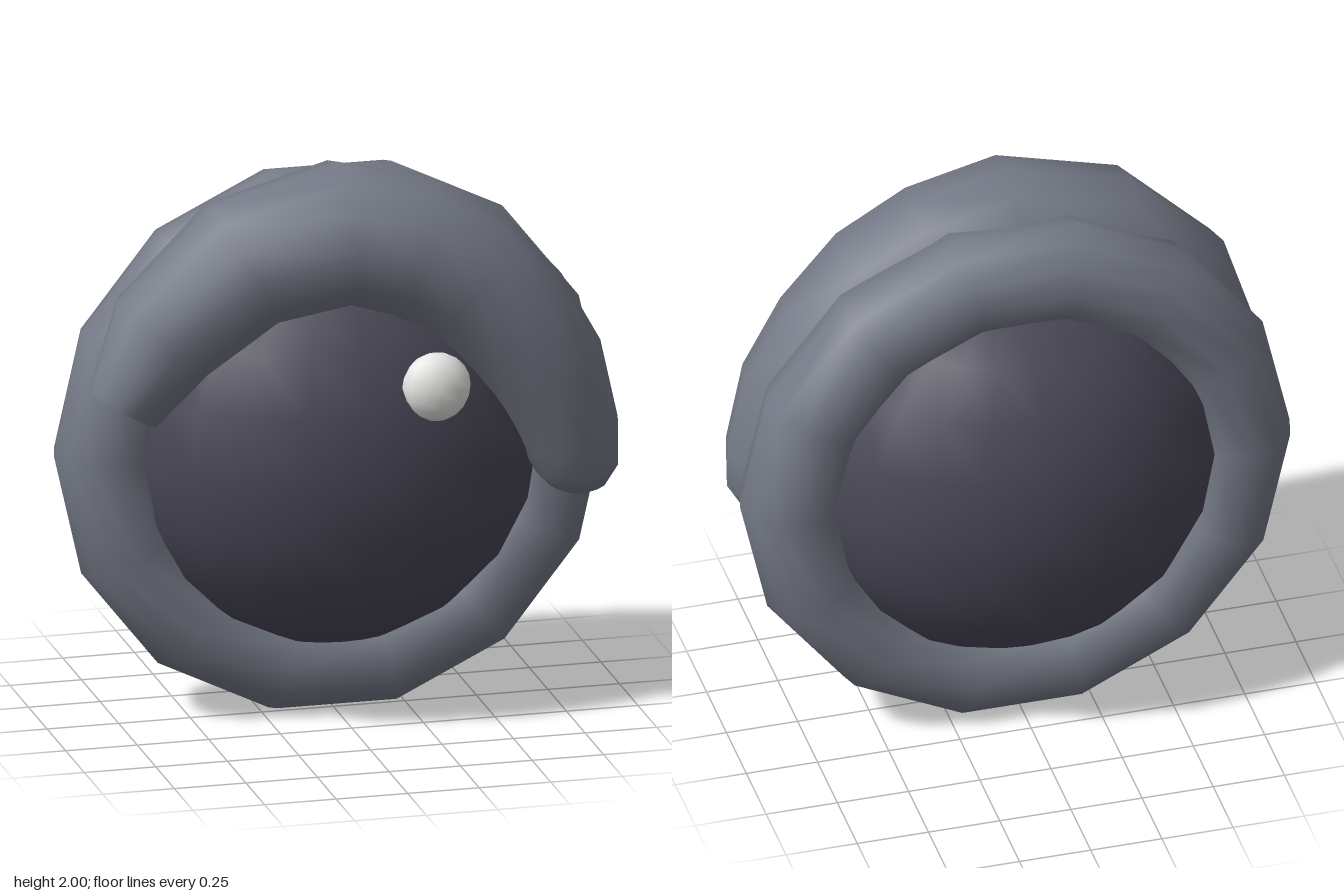
import * as THREE from 'three';

const SIDES = 12;

// Swept tube in the xy plane; each section is [x, y, radius]
function taperedTube(sections, z, depth) {
  const pos = [], idx = [];
  const addRing = (i) => {
    const [x, y, r] = sections[i];
    const p = sections[Math.max(i - 1, 0)], q = sections[Math.min(i + 1, sections.length - 1)];
    const len = Math.hypot(q[0] - p[0], q[1] - p[1]);
    const nx = -(q[1] - p[1]) / len, ny = (q[0] - p[0]) / len;
    const start = pos.length / 3;
    for (let j = 0; j < SIDES; j++) {
      const a = (j / SIDES) * Math.PI * 2, c = Math.cos(a) * r;
      pos.push(x + nx * c, y + ny * c, z + Math.sin(a) * r * depth);
    }
    return start;
  };
  const starts = sections.map((s, i) => addRing(i));
  for (let i = 0; i < starts.length - 1; i++) {
    for (let j = 0; j < SIDES; j++) {
      const k = (j + 1) % SIDES, a = starts[i], b = starts[i + 1];
      idx.push(a + j, a + k, b + k, a + j, b + k, b + j);
    }
  }
  // Blunt start cap has its own rim for a sharp edge; the end shares its rim
  const first = addRing(0), last = starts[starts.length - 1];
  const end = sections[sections.length - 1];
  const c0 = pos.length / 3;
  pos.push(sections[0][0], sections[0][1], z, end[0], end[1], z);
  for (let j = 0; j < SIDES; j++) {
    const k = (j + 1) % SIDES;
    idx.push(c0, first + k, first + j, c0 + 1, last + j, last + k);
  }
  const g = new THREE.BufferGeometry();
  g.setAttribute('position', new THREE.Float32BufferAttribute(pos, 3));
  g.setIndex(idx);
  g.computeVertexNormals();
  return g;
}

export function createModel() {
  const group = new THREE.Group();
  const material = (name, color) => {
    const m = new THREE.MeshStandardMaterial({ color });
    m.name = name;
    return m;
  };
  const grey = material('slate grey', 0x757a87);
  const dark = material('dark violet', 0x4a4757);
  const white = material('off white', 0xe6e6e4);

  const add = (name, geometry, mat, position = [0, 0, 0], scale = [1, 1, 1]) => {
    const mesh = new THREE.Mesh(geometry, mat);
    mesh.name = name;
    mesh.position.set(...position);
    mesh.scale.set(...scale);
    group.add(mesh);
  };

  // Flattened eyeball
  add('eyeball', new THREE.SphereGeometry(1, 20, 10), dark, [0, 0.955, -0.005], [0.71, 0.71, 0.5]);

  // Ring around the eyeball
  add('socketRing', new THREE.TorusGeometry(0.785, 0.18, 12, 14), grey, [0, 0.957, -0.045], [1, 1.013, 1]);

  // Thick drooping lid: blunt on one end, rounded on the other
  add('upperLid', taperedTube([
    [-0.785, 1.19, 0.13], [-0.65, 1.43, 0.2], [-0.37, 1.67, 0.235], [-0.03, 1.75, 0.25],
    [0.2, 1.69, 0.25], [0.39, 1.585, 0.245], [0.56, 1.4, 0.235], [0.69, 1.2, 0.215],
    [0.78, 0.97, 0.17], [0.8, 0.86, 0.143], [0.8, 0.795, 0.095], [0.8, 0.772, 0.045],
  ], 0.2, 1.08), grey);

  // Highlight bead
  add('highlight', new THREE.SphereGeometry(0.12, 12, 10), white, [0.25, 1.25, 0.425], [1, 1, 0.67]);

  return group;
}
